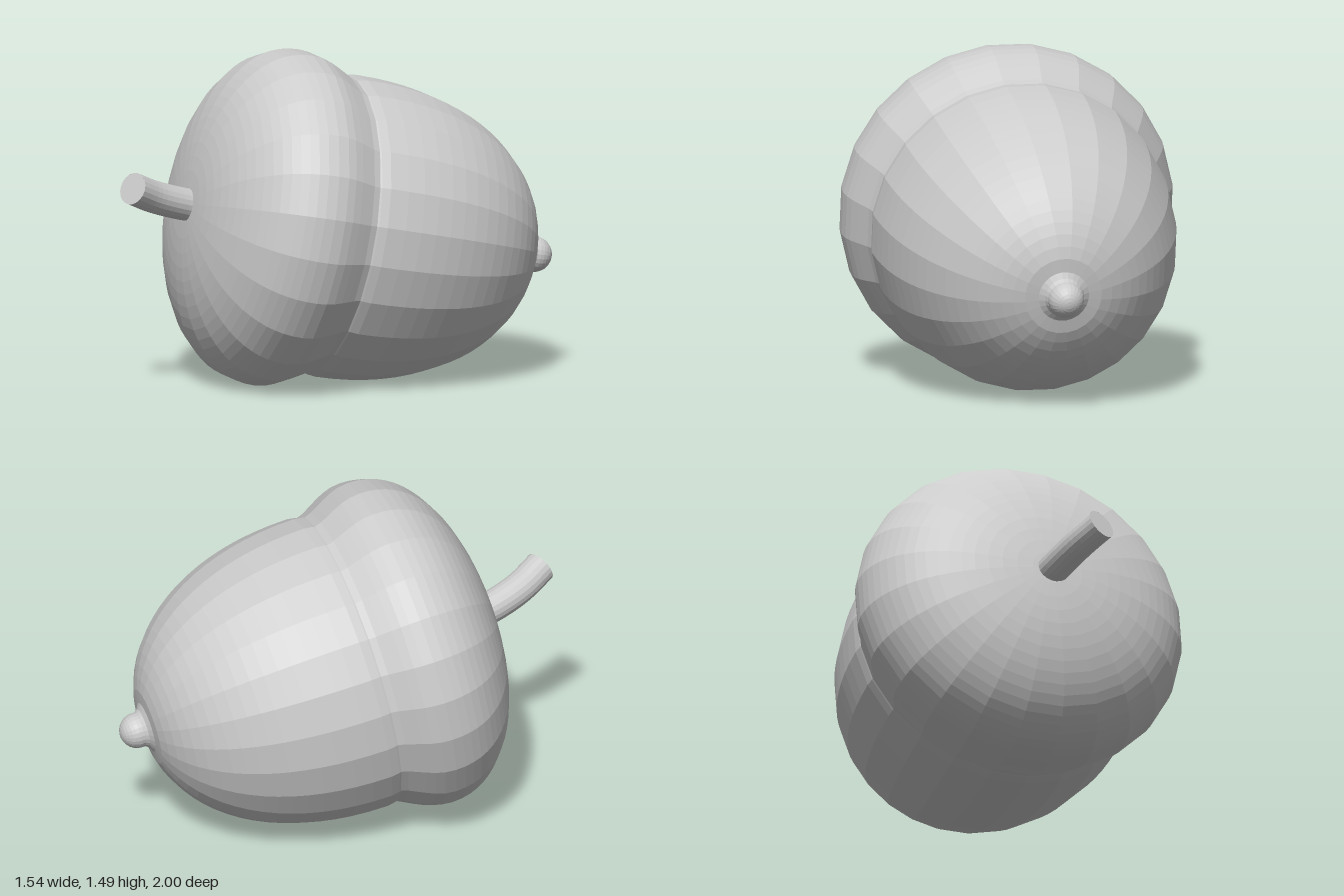
import * as THREE from 'three';

const SIDES = 24;
const material = new THREE.MeshStandardMaterial({ color: 0xcccccc, flatShading: true, side: THREE.DoubleSide });

// quarter superellipse from the rim (t = 0) to the pole (t = 1)
function arc(radius, length, power, t) {
  const a = t * Math.PI / 2;
  return [radius * Math.max(0, Math.cos(a)) ** (2 / power), length * Math.sin(a) ** (2 / power)];
}

function lathe(name, points) {
  const profile = points.map(([r, s]) => new THREE.Vector2(r, s));
  const mesh = new THREE.Mesh(new THREE.LatheGeometry(profile, SIDES, Math.PI / SIDES), material);
  mesh.name = name;
  return mesh;
}

export function createModel() {
  const model = new THREE.Group();
  model.name = 'acorn';

  // tilted axis, local +y runs from the cap to the tip
  const body = new THREE.Group();
  body.name = 'acornBody';
  body.rotation.order = 'YXZ';
  body.rotation.set(-(Math.PI / 2 + 0.186), -0.32, 0);
  body.position.set(0.02, 0.705, 0.02);
  model.add(body);

  // cap: shallow dome, bulging rim, tucked in at the nut
  const cap = [];
  for (let i = 18; i >= 0; i--) {
    const [r, s] = arc(0.757, 0.44, 2.2, i / 18);
    cap.push([r, -0.23 - s]);
  }
  cap.push([0.751, -0.18], [0.738, -0.14], [0.719, -0.1], [0.698, -0.06], [0.682, -0.03], [0.672, 0], [0.668, 0.03]);
  body.add(lathe('cap', cap));

  // nut: rounded shell flowing into a small round tip
  const nut = [[0.66, -0.04], [0.674, 0.01]];
  for (let i = 0; i <= 17; i++) {
    const [r, s] = arc(0.68, 0.93, 2.15, i / 20);
    nut.push([r, 0.05 + s]);
  }
  nut.push([0.115, 0.963], [0.09, 0.978]);
  for (let i = 0; i <= 8; i++) {
    const a = -0.15 + (Math.PI / 2 + 0.15) * i / 8;
    nut.push([Math.max(0, 0.08 * Math.cos(a)), 1.008 + 0.08 * Math.sin(a)]);
  }
  body.add(lathe('nut', nut));

  // curved stem with a flat cut end
  const path = new THREE.CatmullRomCurve3([
    new THREE.Vector3(-0.16, 0.815, 0.58),
    new THREE.Vector3(-0.173, 0.843, 0.7),
    new THREE.Vector3(-0.172, 0.885, 0.84),
    new THREE.Vector3(-0.15, 0.935, 0.968),
  ]);
  const stem = new THREE.Mesh(new THREE.TubeGeometry(path, 12, 0.073, 20), material);
  stem.name = 'stem';
  const end = new THREE.Mesh(new THREE.CircleGeometry(0.073, 20), material);
  end.name = 'stemEnd';
  end.position.copy(path.getPoint(1));
  end.quaternion.setFromUnitVectors(new THREE.Vector3(0, 0, 1), path.getTangent(1));
  model.add(stem, end);

  return model;
}
